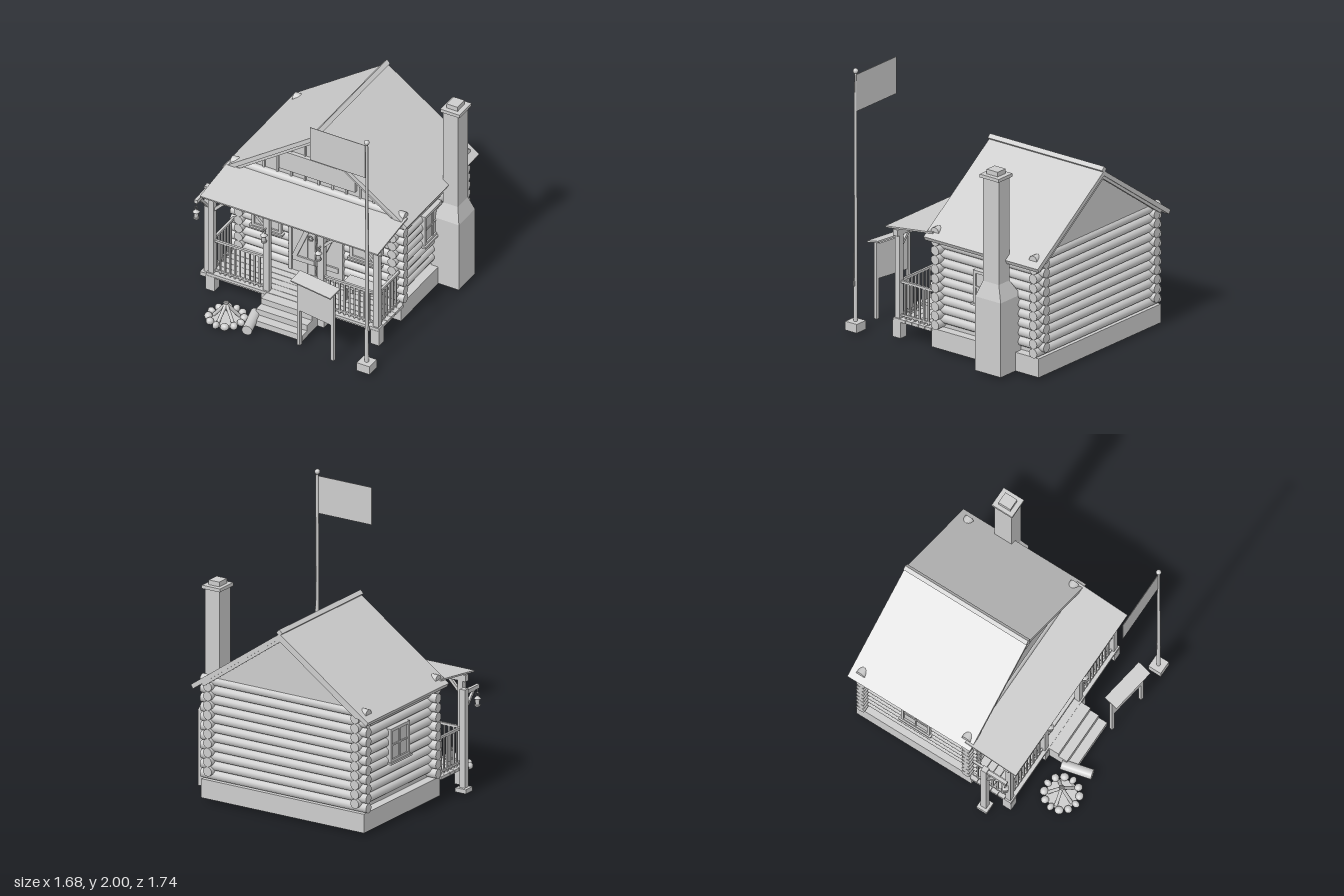
import * as THREE from 'three';

export function createModel() {
  const root = new THREE.Group();
  root.name = 'logCabin';
  const gray = new THREE.MeshStandardMaterial({ color: 0xcccccc, side: THREE.DoubleSide });
  gray.name = 'plainGray';

  const group = (name, parent = root) => {
    const g = new THREE.Group();
    g.name = name;
    parent.add(g);
    return g;
  };
  const add = (parent, name, geo, x = 0, y = 0, z = 0) => {
    const m = new THREE.Mesh(geo, gray);
    m.name = name;
    m.position.set(x, y, z);
    parent.add(m);
    return m;
  };
  // box given by its limits
  const box = (p, name, x0, x1, y0, y1, z0, z1) =>
    add(p, name, new THREE.BoxGeometry(x1 - x0, y1 - y0, z1 - z0), (x0 + x1) / 2, (y0 + y1) / 2, (z0 + z1) / 2);
  // square beam or round pole between two points
  const between = (p, name, a, b, geoOf) => {
    const A = new THREE.Vector3(...a), d = new THREE.Vector3(...b).sub(A), len = d.length();
    const m = add(p, name, geoOf(len));
    m.position.copy(A).addScaledVector(d, 0.5);
    m.quaternion.setFromUnitVectors(new THREE.Vector3(0, 1, 0), d.normalize());
    return m;
  };
  const beam = (p, name, a, b, w, t = w) => between(p, name, a, b, l => new THREE.BoxGeometry(w, l, t));
  const pole = (p, name, a, b, r0, r1 = r0, n = 14) =>
    between(p, name, a, b, l => new THREE.CylinderGeometry(r1, r0, l, n));
  // flat outline in x and y, pushed along z
  const slab = (p, name, pts, z0, z1) => {
    const shape = new THREE.Shape(pts.map(q => new THREE.Vector2(...q)));
    return add(p, name, new THREE.ExtrudeGeometry(shape, { depth: z1 - z0, bevelEnabled: false }), 0, 0, z0);
  };

  const cabin = group('cabin');
  cabin.position.x = -0.02;
  const Z = -0.345, G = 0.018;

  // foundation and log walls
  box(cabin, 'foundation', -0.69, 0.69, G, 0.16, -0.83, 0.14);
  box(cabin, 'wallCore', -0.62, 0.62, 0.155, 0.9, -0.785, 0.095);
  const logs = group('logWalls', cabin);
  const step = 0.0705, R = 0.0355;
  for (let i = 0; i < 11; i++) {
    const y = 0.195 + i * step;
    for (const z of [0.1, -0.79]) pole(logs, 'crossLog', [-0.705, y, z], [0.705, y, z], R);
    if (i < 10) for (const s of [-1, 1])
      pole(logs, 'sideLog', [s * 0.625, y + step / 2, -0.85], [s * 0.625, y + step / 2, 0.16], R);
  }

  // main roof, ridge and gables
  slab(cabin, 'mainRoof', [[-0.752, 0.865], [0, 1.388], [0.752, 0.865], [0.735, 0.835], [0, 1.35], [-0.735, 0.835]], -0.87, 0.165);
  const ridge = box(cabin, 'ridgeCap', -0.018, 0.018, 1.377, 1.413, -0.871, 0.166);
  ridge.rotation.z = Math.PI / 4;
  for (const [z0, z1] of [[0.125, 0.155], [-0.862, -0.835]])
    slab(cabin, 'rakeBoard', [[-0.7, 0.875], [0, 1.365], [0.7, 0.875], [0.64, 0.875], [0, 1.325], [-0.64, 0.875]], z0, z1);
  for (const [z0, z1] of [[0.07, 0.095], [-0.81, -0.785]])
    slab(cabin, 'gableWall', [[-0.68, 0.88], [0, 1.36], [0.68, 0.88]], z0, z1);
  for (let i = -5; i <= 5; i++) {
    const x = i * 0.112;
    box(cabin, 'gableBatten', x - 0.008, x + 0.008, 0.9, 1.35 - Math.abs(x) * 0.7, 0.09, 0.108);
  }
  box(cabin, 'gablePanel', -0.308, 0.308, 0.99, 1.145, 0.1, 0.13);

  // windows, built facing +z
  const makeWindow = (x, z, turn) => {
    const w = group('window', cabin);
    w.position.set(x, 0.56, z);
    w.rotation.y = turn;
    box(w, 'pane', -0.105, 0.105, -0.11, 0.11, -0.03, 0.006);
    for (const s of [-1, 1]) {
      box(w, 'jamb', s * 0.11 - 0.011, s * 0.11 + 0.011, -0.125, 0.125, -0.03, 0.018);
      box(w, 'frameRail', -0.12, 0.12, s * 0.115 - 0.011, s * 0.115 + 0.011, -0.03, 0.018);
    }
    box(w, 'muntin', -0.006, 0.006, -0.11, 0.11, 0, 0.013);
    box(w, 'muntin', -0.11, 0.11, -0.006, 0.006, 0, 0.013);
    box(w, 'sill', -0.135, 0.135, -0.137, -0.122, -0.03, 0.03);
  };
  for (const s of [-1, 1]) {
    makeWindow(s * 0.4, 0.135, 0);
    makeWindow(s * 0.66, Z, s * Math.PI / 2);
  }

  // double door with braces and ring handles
  const door = group('doubleDoor', cabin);
  for (const s of [-1, 1]) {
    const c = s * 0.097;
    for (let i = -1; i <= 1; i++)
      box(door, 'doorPlank', c + i * 0.062 - 0.0295, c + i * 0.062 + 0.0295, 0.165, 0.785, 0.09, 0.146);
    box(door, 'doorCore', c - 0.092, c + 0.092, 0.165, 0.785, 0.09, 0.143);
    for (const y of [0.28, 0.66]) box(door, 'doorRail', c - 0.088, c + 0.088, y - 0.02, y + 0.02, 0.14, 0.158);
    beam(door, 'doorBrace', [c - 0.075, 0.29, 0.15], [c + 0.075, 0.65, 0.15], 0.036, 0.016);
    add(door, 'handle', new THREE.TorusGeometry(0.018, 0.005, 8, 18), s * 0.035, 0.49, 0.162);
    box(door, 'doorJamb', s * 0.207 - 0.014, s * 0.207 + 0.014, 0.165, 0.81, 0.09, 0.152);
  }
  box(door, 'lintel', -0.22, 0.22, 0.785, 0.815, 0.09, 0.152);

  // lantern hanging below its top point
  const lantern = (p, x, y, z) => {
    const l = group('lantern', p);
    l.position.set(x, y, z);
    add(l, 'ring', new THREE.TorusGeometry(0.014, 0.003, 6, 12), 0, -0.014, 0);
    add(l, 'cap', new THREE.ConeGeometry(0.027, 0.025, 8), 0, -0.035, 0);
    add(l, 'glass', new THREE.CylinderGeometry(0.018, 0.015, 0.05, 8), 0, -0.07, 0);
    add(l, 'foot', new THREE.CylinderGeometry(0.022, 0.022, 0.01, 8), 0, -0.098, 0);
  };

  // porch deck, posts, roof and railings
  const porch = group('porch', cabin);
  for (let i = 0; i < 6; i++)
    box(porch, 'deckPlank', -0.705, 0.705, 0.14, 0.163, 0.135 + i * 0.058, 0.135 + i * 0.058 + 0.055);
  box(porch, 'deckRim', -0.705, 0.705, 0.12, 0.14, 0.43, 0.465);
  for (const x of [-0.67, -0.222, 0.222, 0.67]) {
    box(porch, 'post', x - 0.023, x + 0.023, 0.15, 0.835, 0.427, 0.469);
    box(porch, 'footing', x - 0.035, x + 0.035, G, 0.14, 0.41, 0.482);
    const s = Math.sign(x), inward = Math.abs(x) > 0.5 ? -s : s;
    beam(porch, 'postBrace', [x, 0.69, 0.447], [x + inward * 0.11, 0.8, 0.447], 0.022);
    if (Math.abs(x) < 0.5) {
      box(porch, 'lanternHook', x - 0.004, x + 0.004, 0.7, 0.708, 0.46, 0.508);
      lantern(porch, x, 0.71, 0.5);
    }
  }
  box(porch, 'beam', -0.715, 0.715, 0.79, 0.838, 0.427, 0.469);
  const sheet = add(porch, 'porchRoof', new THREE.BoxGeometry(1.445, 0.012, 0.43), 0, 0.87, 0.32);
  sheet.rotation.x = 0.127;
  box(porch, 'roofLedger', -0.7, 0.7, 0.845, 0.885, 0.13, 0.155);

  const rail = (a, b) => {
    const r = group('railing', porch);
    for (const [y, w] of [[0.437, 0.018], [0.185, 0.014]])
      beam(r, 'rail', [a[0], y, a[1]], [b[0], y, b[1]], w);
    const n = Math.round(Math.hypot(b[0] - a[0], b[1] - a[1]) / 0.042);
    for (let i = 1; i < n; i++) {
      const x = a[0] + (b[0] - a[0]) * i / n, z = a[1] + (b[1] - a[1]) * i / n;
      box(r, 'baluster', x - 0.006, x + 0.006, 0.163, 0.435, z - 0.006, z + 0.006);
    }
  };
  for (const s of [-1, 1]) {
    rail([s * 0.645, 0.447], [s * 0.245, 0.447]);
    rail([s * 0.67, 0.43], [s * 0.67, 0.14]);
  }

  // bench on the porch
  const bench = group('bench', porch);
  box(bench, 'benchSeat', 0.29, 0.6, 0.275, 0.297, 0.165, 0.3);
  for (const x of [0.31, 0.56]) for (const z of [0.18, 0.265])
    box(bench, 'benchLeg', x, x + 0.02, 0.163, 0.277, z, z + 0.02);

  // entry steps
  [0.16, 0.112, 0.065].forEach((y, i) =>
    box(root, 'step', -0.23, 0.185, G, y, 0.475, 0.56 + i * 0.07));

  // chimney, with a sloping shoulder made by moving the top corners of a box
  const chimney = group('chimney');
  box(chimney, 'chimneyBase', 0.61, 0.838, G, 0.58, -0.62, -0.39);
  const shoulder = new THREE.BoxGeometry(0.228, 0.12, 0.23), sp = shoulder.attributes.position;
  for (let i = 0; i < sp.count; i++) if (sp.getY(i) > 0) {
    sp.setX(i, sp.getX(i) > 0 ? 0.081 : -0.039);
    sp.setZ(i, Math.sign(sp.getZ(i)) * 0.072);
  }
  shoulder.computeVertexNormals();
  add(chimney, 'shoulder', shoulder, 0.724, 0.64, -0.505);
  box(chimney, 'stack', 0.685, 0.805, 0.7, 1.49, -0.577, -0.433);
  box(chimney, 'crown', 0.67, 0.825, 1.485, 1.51, -0.592, -0.42);
  box(chimney, 'flue', 0.7, 0.79, 1.51, 1.545, -0.555, -0.455);

  // lantern post beside the porch
  const lp = group('lanternPost');
  box(lp, 'postBase', -0.845, -0.755, G, 0.05, 0.268, 0.355);
  box(lp, 'post', -0.822, -0.778, G, 0.785, 0.29, 0.335);
  box(lp, 'arm', -0.812, -0.786, 0.74, 0.77, 0.3, 0.495);
  beam(lp, 'armBrace', [-0.8, 0.61, 0.32], [-0.8, 0.75, 0.44], 0.018);
  pole(lp, 'hook', [-0.8, 0.7, 0.485], [-0.8, 0.745, 0.485], 0.003, 0.003, 6);
  lantern(lp, -0.8, 0.71, 0.485);

  // flagpole
  const flag = group('flagpole'), fx = 0.747, fz = 0.767;
  box(flag, 'poleBase', fx - 0.052, fx + 0.052, G, 0.085, fz - 0.052, fz + 0.052);
  pole(flag, 'pole', [fx, 0.08, fz], [fx, 1.97, fz], 0.015, 0.009);
  add(flag, 'finial', new THREE.SphereGeometry(0.02, 16, 12), fx, 1.98, fz);
  box(flag, 'flag', 0.285, 0.735, 1.67, 1.95, fz - 0.002, fz + 0.002);
  pole(flag, 'rope', [fx + 0.018, 0.37, fz], [fx + 0.012, 1.95, fz], 0.002, 0.002, 6);
  box(flag, 'cleat', fx + 0.008, fx + 0.024, 0.355, 0.39, fz - 0.006, fz + 0.006);

  // notice board
  const board = group('noticeBoard');
  board.position.set(0.335, 0, 0.765);
  board.rotation.y = -0.155;
  for (const s of [-1, 1]) box(board, 'boardLeg', s * 0.152 - 0.012, s * 0.152 + 0.012, G, 0.6, -0.012, 0.012);
  box(board, 'boardPanel', -0.145, 0.145, 0.32, 0.585, -0.008, 0.012);
  add(board, 'boardRoof', new THREE.BoxGeometry(0.36, 0.012, 0.115), 0, 0.604, 0.01).rotation.x = 0.23;

  // campfire: ring of stones and leaning sticks
  const fire = group('campfire');
  fire.position.set(-0.425, 0, 0.715);
  for (let i = 0; i < 12; i++) {
    const a = i / 12 * Math.PI * 2 + 0.1;
    const stone = add(fire, 'stone', new THREE.SphereGeometry(0.03, 10, 8), Math.cos(a) * 0.127, 0.027, Math.sin(a) * 0.127);
    stone.scale.set(1, 0.9, 0.8 + 0.15 * (i % 3));
    stone.rotation.y = -a;
  }
  add(fire, 'ashBed', new THREE.CylinderGeometry(0.115, 0.115, 0.01, 20), 0, 0.012, 0);
  for (let i = 0; i < 5; i++) {
    const a = i / 5 * Math.PI * 2 + 0.5, c = Math.cos(a), s = Math.sin(a);
    pole(fire, 'firewood', [c * 0.095, 0.02, s * 0.095], [-c * 0.012, 0.155, -s * 0.012], 0.013, 0.013, 10);
  }

  // log seat
  pole(root, 'logSeat', [-0.25, 0.055, 0.6], [-0.195, 0.055, 0.825], 0.038, 0.038, 16);

  return root;
}
